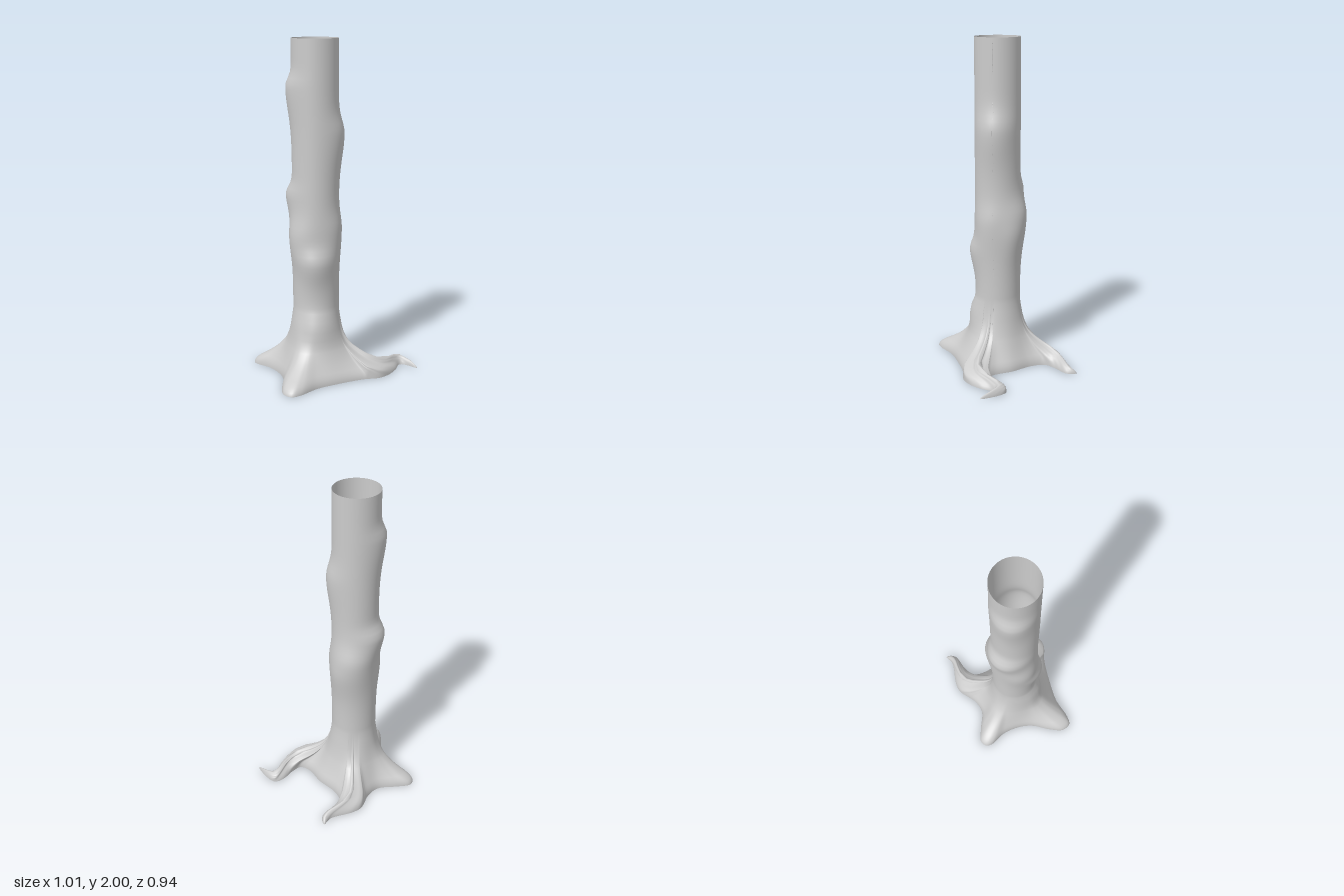
import * as THREE from 'three';

const material = new THREE.MeshStandardMaterial({ color: 0xcccccc, side: THREE.DoubleSide });
const centre = { x: -0.115, z: 0.05 };
const RADIUS = 0.137;
const { degToRad, clamp, mapLinear, lerp } = THREE.MathUtils;

// Skin a list of equally long closed rings of [x, y, z] points
function loft(rings) {
  const n = rings[0].length, index = [];
  for (let r = 0; r < rings.length - 1; r++) {
    for (let i = 0; i < n; i++) {
      const a = r * n + i, b = r * n + (i + 1) % n;
      index.push(a, a + n, b, b, a + n, b + n);
    }
  }
  const geometry = new THREE.BufferGeometry();
  geometry.setAttribute('position', new THREE.Float32BufferAttribute(rings.flat(2), 3));
  geometry.setIndex(index);
  geometry.computeVertexNormals();
  return geometry;
}

// Ground outline of the base with its roots, as x, z pairs
const outline = [
  // left root
  [0.505, 0.037], [0.44, -0.012], [0.4, -0.022], [0.37, 0.06], [0.33, 0.13], [0.27, 0.185],
  [0.17, 0.21], [0, 0.29], [-0.1, 0.35],
  // front root
  [-0.19, 0.44], [-0.24, 0.466], [-0.29, 0.43], [-0.305, 0.34], [-0.305, 0.22], [-0.335, 0.13],
  // right root
  [-0.4, 0.04], [-0.49, -0.025], [-0.505, -0.06], [-0.485, -0.1], [-0.4, -0.12],
  [-0.28, -0.14], [-0.22, -0.2],
  // back root
  [-0.17, -0.32], [-0.12, -0.36], [0.02, -0.42], [0.055, -0.47], [0.07, -0.41], [0, -0.325],
  [-0.035, -0.26], [0, -0.18], [0.1, -0.08],
  // rear side of the left root
  [0.17, 0.02], [0.23, 0.05], [0.28, 0.01], [0.34, -0.07], [0.39, -0.095], [0.45, -0.05],
];

// Curling roots: direction of the ridge in degrees at growing distance from the centre
const curls = [
  { sector: 0, radii: [0.34, 0.416, 0.457, 0.49, 0.52, 0.561, 0.62], angles: [11, 3.4, -4.8, -9.6, -12, -8.5, -1.2] },
  { sector: -80, radii: [0.3, 0.361, 0.418, 0.466, 0.509, 0.546], angles: [-89, -86, -79, -73, -70.6, -71.6] },
].map(({ sector, radii, angles }) => ({
  sector: degToRad(sector),
  ridge: new THREE.CubicInterpolant(radii, angles.map(degToRad), 1, [0]),
}));

// Height and amount of flare, from the full outline (1) to the round stem (0)
const flare = [
  [0, 1], [0.008, 0.995], [0.018, 0.975], [0.03, 0.94], [0.04, 0.89], [0.05, 0.84],
  [0.062, 0.765], [0.075, 0.68], [0.1, 0.54], [0.125, 0.42], [0.15, 0.325], [0.175, 0.24],
  [0.2, 0.175], [0.24, 0.105], [0.29, 0.05], [0.35, 0.015], [0.4, 0],
];

// Swellings on the stem: angle, height, size, angular width, reach below, reach above
const bumps = [
  [Math.PI, 1.73, 0.033, 0.8, 0.2, 0.06],
  [Math.PI * 1.12, 1.1, 0.043, 0.9, 0.13, 0.06],
  [Math.PI * 0.8, 0.85, 0.028, 0.8, 0.15, 0.12],
  [0, 1.46, 0.033, 0.8, 0.2, 0.1],
  [0.3, 0.9, 0.018, 0.7, 0.2, 0.1],
  [-Math.PI * 0.46, 0.93, 0.04, 0.85, 0.22, 0.11],
  [-Math.PI * 0.25, 0.82, 0.012, 0.5, 0.15, 0.1],
  [Math.PI * 0.5, 0.71, 0.034, 0.7, 0.13, 0.07],
  [Math.PI * 0.5, 0.32, 0.028, 0.8, 0.1, 0.07],
];

// Signed smallest difference between two angles
const turn = (a, b) => Math.atan2(Math.sin(a - b), Math.cos(a - b));

function stemRadius(angle, y) {
  let r = RADIUS;
  for (const [a, h, size, width, below, above] of bumps) {
    const da = turn(angle, a) / width;
    const dy = (y - h) / (y < h ? below : above);
    r += size * Math.exp(-da * da - dy * dy);
  }
  return r;
}

// One upright strand of the bark, from a point of the ground outline to the stem
function createStrand(point) {
  const dx = point.x - centre.x, dz = point.z - centre.z;
  const reach = Math.hypot(dx, dz), start = Math.atan2(dz, dx);
  const curl = curls.find(({ sector }) => Math.abs(turn(start, sector)) < degToRad(36));
  const ridgeAngle = (r) => (curl ? curl.ridge.evaluate(r)[0] : 0);
  const offset = start - ridgeAngle(reach);
  // Hollows between the roots climb higher up the stem than the roots do
  const power = clamp(mapLinear(reach, 0.22, 0.42, 0.6, 1), 0.6, 1.15);
  return (y, amount) => {
    const f = amount ** power;
    const angle = offset + ridgeAngle(lerp(RADIUS, reach, f));
    const r = lerp(stemRadius(angle, y), reach, f);
    return [centre.x + r * Math.cos(angle), y, centre.z + r * Math.sin(angle)];
  };
}

export function createModel() {
  const curve = new THREE.CatmullRomCurve3(
    outline.map(([x, z]) => new THREE.Vector3(x, 0, z)), true);
  const strands = curve.getSpacedPoints(300).slice(0, 300).map(createStrand);
  const levels = [...flare];
  for (let i = 1; i <= 50; i++) levels.push([0.4 + i * 0.032, 0]);
  const rings = levels.map(([y, amount]) => strands.map((strand) => strand(y, amount)));

  const trunk = new THREE.Mesh(loft(rings), material);
  trunk.name = 'trunkWithRoots';
  const group = new THREE.Group();
  group.add(trunk);
  return group;
}
